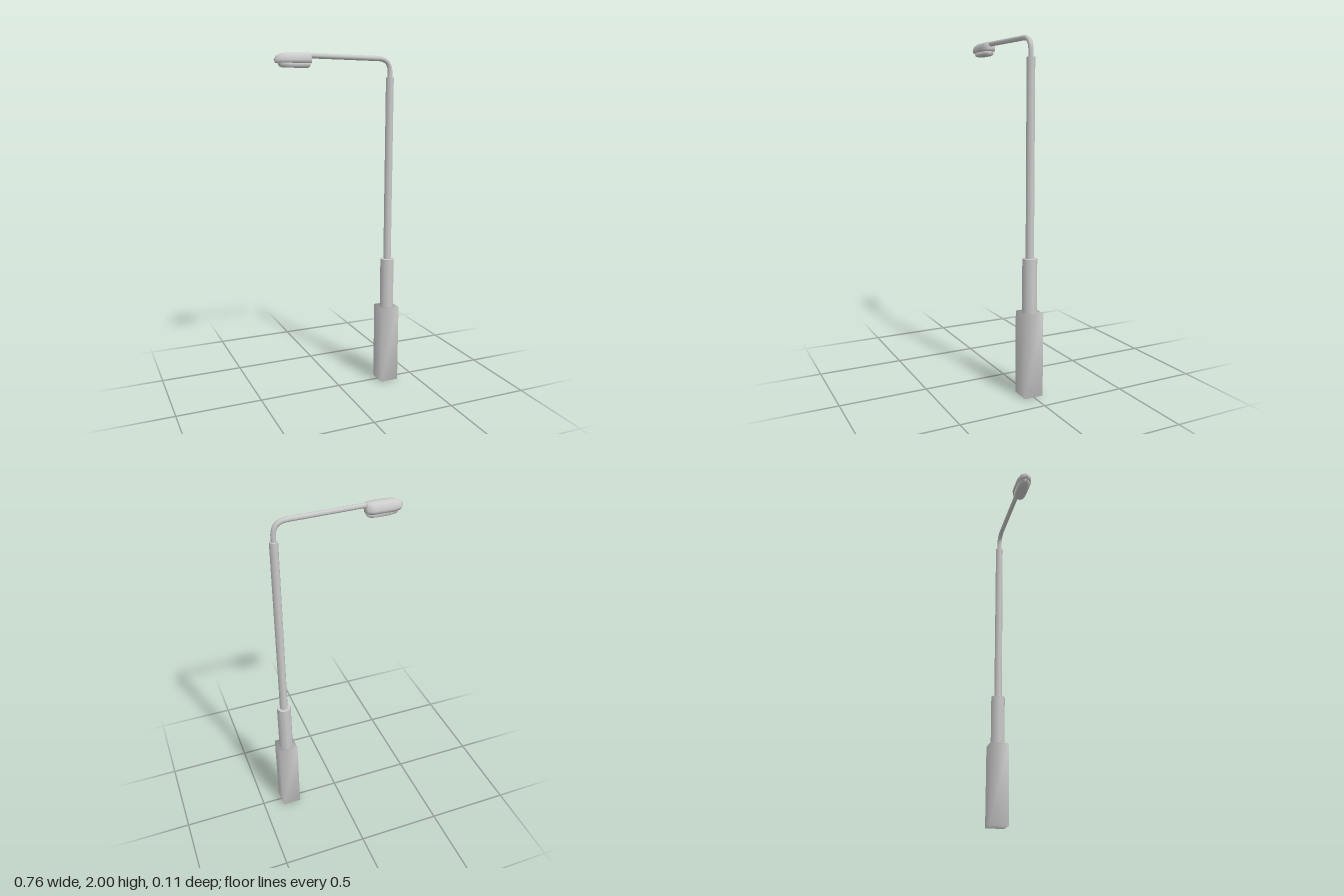
import * as THREE from 'three';
import { mergeVertices } from 'three/addons/utils/BufferGeometryUtils.js';

const POLE_X = 0.323;

// Half outline of the lamp head seen from above: [along 0..1, half width 0..1]
const HALF = [[0, 0], [0.03, 0.3], [0.1, 0.7], [0.31, 1], [0.82, 1], [0.97, 0.7], [1, 0.3]];
const OUTLINE = [...HALF, ...HALF.slice(1).reverse().map(([u, w]) => [u, -w])];

// Stacks scaled outlines [y, xMin, xMax, halfWidth] from bottom to top and caps both ends
function loft(layers) {
  const pos = [], index = [], n = OUTLINE.length;
  for (const [y, x0, x1, w] of layers) {
    for (const [u, v] of OUTLINE) pos.push(x0 + u * (x1 - x0), y, v * w);
  }
  for (let j = 0; j < layers.length - 1; j++) {
    for (let i = 0; i < n; i++) {
      const a = j * n + i, b = j * n + (i + 1) % n;
      index.push(a, b, b + n, a, b + n, a + n);
    }
  }
  const top = (layers.length - 1) * n;
  for (let i = 1; i < n - 1; i++) {
    index.push(0, i + 1, i);
    index.push(top, top + i, top + i + 1);
  }
  const g = new THREE.BufferGeometry();
  g.setAttribute('position', new THREE.Float32BufferAttribute(pos, 3));
  g.setIndex(index);
  g.computeVertexNormals();
  return g;
}

// Shares the normals across edges for soft shading
function soften(g) {
  g.deleteAttribute('normal');
  g.deleteAttribute('uv');
  const merged = mergeVertices(g);
  merged.computeVertexNormals();
  return merged;
}

export function createModel() {
  const group = new THREE.Group();
  const material = new THREE.MeshStandardMaterial({ color: 0xcccccc });
  const add = (name, geometry) => {
    const mesh = new THREE.Mesh(geometry, material);
    mesh.name = name;
    group.add(mesh);
    return mesh;
  };
  const column = (name, radius, y0, y1) =>
    add(name, new THREE.CylinderGeometry(radius, radius, y1 - y0, 8))
      .position.set(POLE_X, (y0 + y1) / 2, 0);

  // Square base and stepped octagonal pole
  add('base', soften(new THREE.BoxGeometry(0.113, 0.48, 0.113))).position.set(POLE_X, 0.24, 0);
  column('collar', 0.043, 0.48, 0.785);
  column('pole', 0.024, 0.785, 1.87);

  // Bent arm: short riser, quarter bend, slightly rising horizontal run
  const path = new THREE.CurvePath();
  const p = (x, y) => new THREE.Vector3(x, y, 0);
  path.add(new THREE.LineCurve3(p(POLE_X, 1.86), p(POLE_X, 1.9)));
  path.add(new THREE.CubicBezierCurve3(p(POLE_X, 1.9), p(POLE_X, 1.95), p(0.3, 1.976), p(0.245, 1.977)));
  path.add(new THREE.LineCurve3(p(0.245, 1.977), p(-0.18, 1.985)));
  add('arm', new THREE.TubeGeometry(path, 48, 0.0145, 8));

  // Lamp head: domed housing over a shallower lens
  add('lampHousing', loft([
    [1.944, -0.374, -0.168, 0.041],
    [1.96, -0.382, -0.165, 0.044],
    [1.982, -0.368, -0.166, 0.039],
    [1.995, -0.34, -0.17, 0.026],
    [2.0, -0.305, -0.18, 0.011],
  ]));
  add('lampLens', loft([
    [1.92, -0.335, -0.185, 0.024],
    [1.926, -0.352, -0.176, 0.033],
    [1.946, -0.364, -0.171, 0.037],
  ]));

  return group;
}
